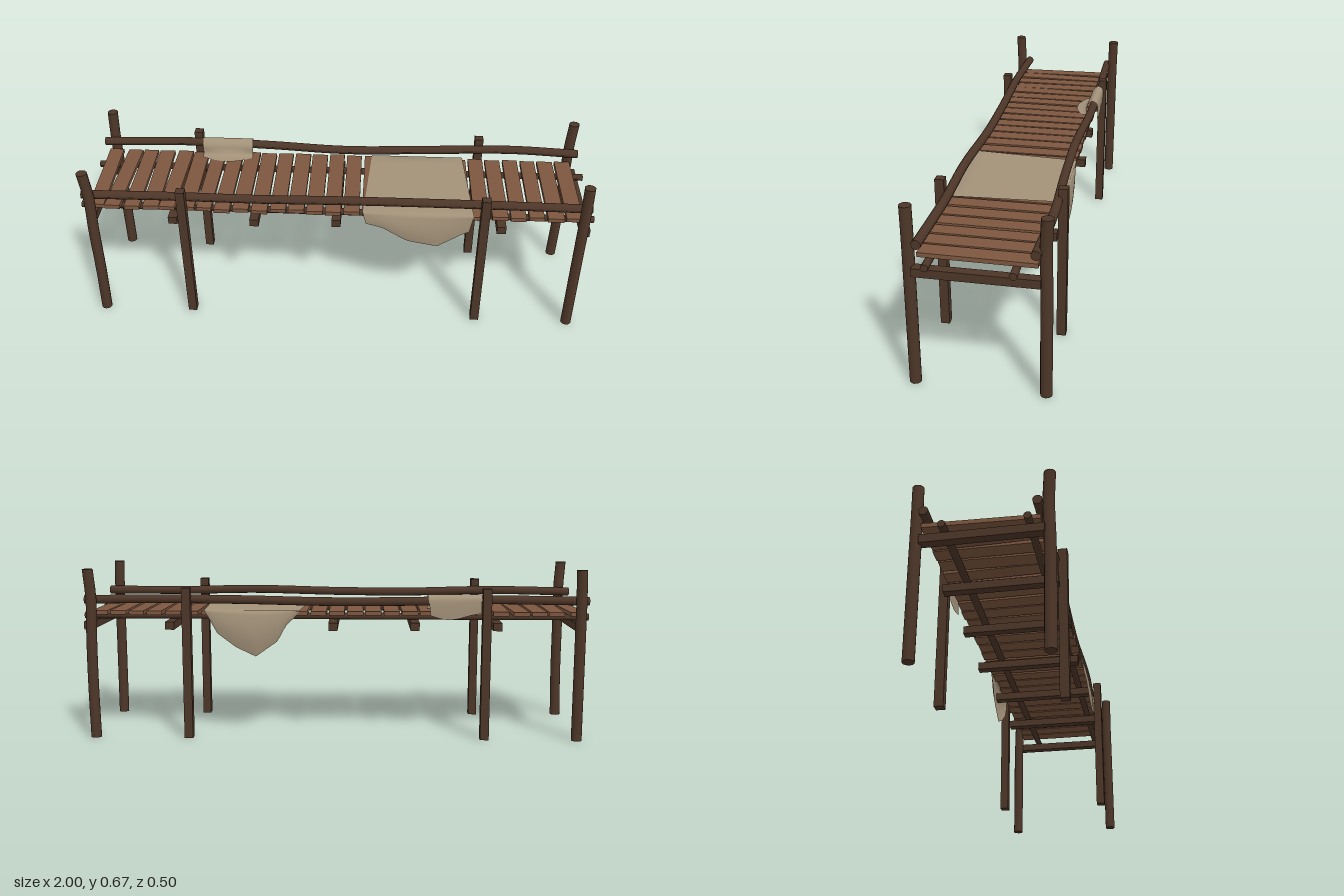
import * as THREE from 'three';

const mat = (color, side = THREE.FrontSide) => new THREE.MeshStandardMaterial({ color, side, roughness: 0.9 });
const V = (x, y, z) => new THREE.Vector3(x, y, z);

export function createModel() {
  const group = new THREE.Group();
  const darkWood = mat(0x4d3628);
  const plankWood = mat(0x7d5740);
  const linen = mat(0xa39279, THREE.DoubleSide);

  let seed = 11;
  const rand = () => (seed = (seed * 16807) % 2147483647) / 2147483647 - 0.5;

  const add = (name, geometry, material) => {
    const mesh = new THREE.Mesh(geometry, material);
    mesh.name = name;
    group.add(mesh);
    return mesh;
  };
  const box = (name, w, h, d, x, y, z, material) => {
    const mesh = add(name, new THREE.BoxGeometry(w, h, d), material);
    mesh.position.set(x, y, z);
    return mesh;
  };

  // Capped round timber whose sections follow a bent path
  const log = (name, points, radius, alongX, segments = 24) => {
    const curve = new THREE.CatmullRomCurve3(points);
    const g = new THREE.CylinderGeometry(radius, radius, 1, 12, segments);
    const p = g.attributes.position;
    for (let i = 0; i < p.count; i++) {
      const c = curve.getPoint(THREE.MathUtils.clamp(p.getY(i) + 0.5, 0, 1));
      const a = p.getX(i), b = p.getZ(i);
      if (alongX) p.setXYZ(i, c.x, c.y - a, c.z + b);
      else p.setXYZ(i, c.x + a, c.y, c.z + b);
    }
    g.computeVertexNormals();
    return add(name, g, darkWood);
  };

  // Round corner posts; two opposite ones bend near the top
  for (const sx of [-1, 1]) for (const sz of [-1, 1]) {
    const bent = sx !== sz;
    const x = sx * 0.95, z = sz * 0.226;
    log('cornerPost', [
      V(x - (bent ? 0.004 : 0), 0, z),
      V(x, 0.2, z),
      V(x, 0.4, z),
      V(x + sx * (bent ? -0.002 : 0), 0.55, z - sz * (bent ? 0.004 : 0)),
      V(x + sx * (bent ? 0.006 : -0.003), 0.667, z + sz * 0.002),
    ], 0.021, false, 12);
  }

  // Square intermediate posts
  for (const x of [-0.59, 0.575]) for (const sz of [-1, 1])
    box('squarePost', 0.034, 0.594, 0.034, x, 0.297, sz * 0.22, darkWood);

  // Wavy handrails
  const rail = (name, offsets) => log(name, offsets.map(([x, y, z]) => V(x, y, z)), 0.017, true, 40);
  rail('frontRail', [[-0.985, 0.543, 0.19], [-0.65, 0.548, 0.193], [-0.3, 0.541, 0.186],
    [0, 0.543, 0.182], [0.35, 0.55, 0.19], [0.65, 0.545, 0.185], [0.98, 0.545, 0.19]]);
  rail('backRail', [[-0.985, 0.545, -0.195], [-0.6, 0.55, -0.203], [-0.3, 0.543, -0.203],
    [0.03, 0.539, -0.186], [0.35, 0.546, -0.192], [0.7, 0.55, -0.205], [0.98, 0.545, -0.195]]);

  // Stringers beneath the deck
  for (const z of [0.16, -0.127])
    log('stringer', [V(-1, 0.475, z), V(0, 0.475, z), V(1, 0.475, z)], 0.0135, true, 1);

  // Cross joists
  for (const x of [-0.955, -0.635, -0.315, 0.005, 0.325, 0.645, 0.965])
    box('crossJoist', 0.035, 0.031, 0.422, x, 0.444, x === 0.005 ? -0.012 : 0, darkWood);

  // Deck planks, laid slightly unevenly
  const count = 27;
  for (let i = 0; i < count; i++) {
    const plank = box('deckPlank', 0.061 + rand() * 0.006, 0.016, 0.402 + rand() * 0.016,
      -0.938 + i * 0.0715, 0.494 + rand() * 0.002, rand() * 0.008, plankWood);
    plank.rotation.y = rand() * (i < 5 ? 0.09 : 0.02);
  }

  // Sheet from a rule (u, v) -> point
  const sheet = (name, nu, nv, rule) => {
    const g = new THREE.PlaneGeometry(1, 1, nu, nv);
    const p = g.attributes.position;
    for (let i = 0; i < p.count; i++) {
      const q = rule(p.getX(i) + 0.5, 0.5 - p.getY(i));
      p.setXYZ(i, q.x, q.y, q.z);
    }
    g.computeVertexNormals();
    return add(name, g, linen);
  };

  // Linear lookup in a short list of [input, output] pairs
  const lookup = (table, t) => {
    for (let i = 1; i < table.length; i++) {
      const [a, va] = table[i - 1], [b, vb] = table[i];
      if (t <= b) return va + (vb - va) * (t - a) / (b - a);
    }
    return table[table.length - 1][1];
  };

  // Large cloth across the deck with a ragged flap hanging on each side
  const backHem = [[0, 0.03], [0.1, 0.06], [0.19, 0.12], [0.46, 0.183], [0.7, 0.145], [0.92, 0.09], [1, 0.04]];
  const frontHem = [[0, 0.05], [0.16, 0.065], [0.4, 0.122], [0.7, 0.146], [0.92, 0.09], [1, 0.075]];
  sheet('deckCloth', 24, 24, (u, v) => {
    const s = v * 3 - 1; // 0 to 1 lies on the deck
    const w = THREE.MathUtils.clamp(s, 0, 1);
    const x = THREE.MathUtils.lerp(0.135 - 0.027 * w, 0.51 + 0.025 * w, u);
    const bulge = Math.sin(Math.PI * u) * 0.012;
    if (s < 0) {
      const k = -s;
      return V(x + (0.32 - x) * 0.12 * k, 0.505 - k * lookup(backHem, u),
        -0.204 - bulge * Math.sin(Math.PI * k) + 0.004 * k);
    }
    if (s > 1) {
      const k = s - 1;
      return V(x - (x - 0.32) * 0.06 * k, 0.505 - k * lookup(frontHem, u),
        0.206 + bulge * Math.sin(Math.PI * Math.min(1, k * 0.8)));
    }
    return V(x, 0.505, THREE.MathUtils.lerp(-0.204, 0.206, w));
  });

  // Small cloth thrown over the back rail
  const drape = new THREE.CatmullRomCurve3([
    V(0, 0.507, -0.122), V(0, 0.511, -0.158), V(0, 0.53, -0.172), V(0, 0.553, -0.18),
    V(0, 0.57, -0.201), V(0, 0.557, -0.221), V(0, 0.525, -0.224), V(0, 0.485, -0.222),
  ]);
  sheet('railCloth', 10, 28, (u, v) => {
    const c = drape.getPoint(v);
    const inner = Math.max(0, 1 - v * 3);
    const outer = Math.max(0, v * 3 - 2);
    const x = THREE.MathUtils.lerp(-0.57, -0.362 - 0.012 * outer, u);
    return V(x, c.y + outer * 0.012 * Math.cos(u * 5), c.z - inner * 0.03 * (1 - Math.sin(Math.PI * u)));
  });

  return group;
}
